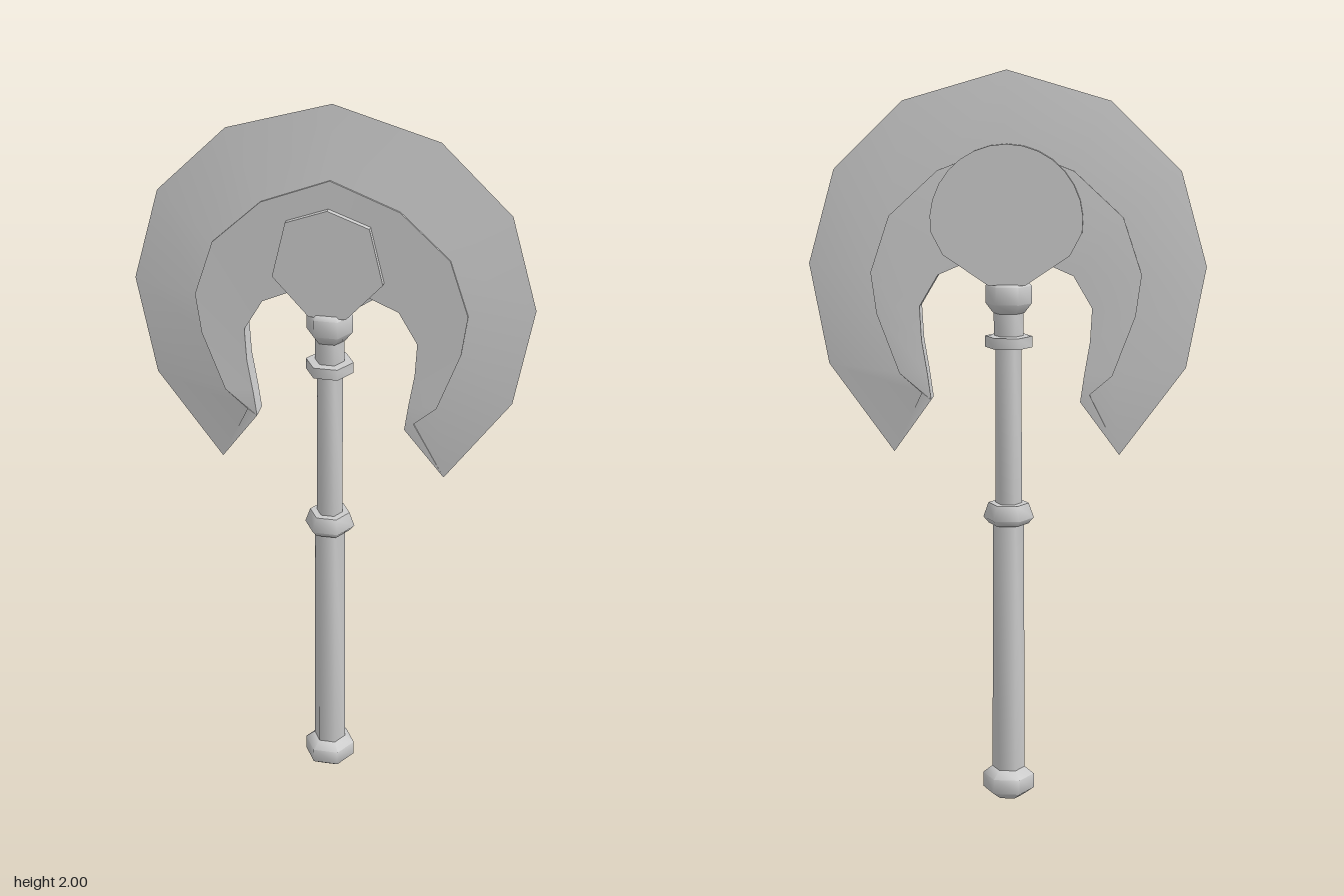
import * as THREE from 'three';
import { toCreasedNormals } from 'three/addons/utils/BufferGeometryUtils.js';

const material = new THREE.MeshStandardMaterial({ color: 0xcccccc });
const MID_Z = -0.007;
const AXIS_X = -0.006;

function part(name, geometry, crease) {
  const mesh = new THREE.Mesh(toCreasedNormals(geometry, crease), material);
  mesh.name = name;
  return mesh;
}

// Six-sided turned part with corners on the x axis; profile is [radius, y] from bottom to top
function turned(name, profile, crease = 1.1) {
  const points = profile.map(([r, y]) => new THREE.Vector2(r, y));
  const mesh = part(name, new THREE.LatheGeometry(points, 6, Math.PI / 2), crease);
  mesh.position.set(AXIS_X, 0, MID_Z + 0.003);
  return mesh;
}

// Flat plate between two depths
function plate(name, outline, z0, z1) {
  const shape = new THREE.Shape(outline.map(([x, y]) => new THREE.Vector2(x, y)));
  const geometry = new THREE.ExtrudeGeometry(shape, { depth: z1 - z0, bevelEnabled: false });
  geometry.translate(0, 0, z0);
  return part(name, geometry, 0.6);
}

// Crescent blade: cross-sections swept from one horn over the top to the other
function blade() {
  // Each station: cutting edge, step of the raised inner band, inner edge (x, y)
  const half = [
    [0.305, 0.98, 0.225, 1.148, 0.2, 1.128],
    [0.48, 1.22, 0.285, 1.2, 0.21, 1.2],
    [0.505, 1.355, 0.345, 1.36, 0.225, 1.29],
    [0.53, 1.49, 0.36, 1.47, 0.23, 1.38],
    [0.46, 1.74, 0.31, 1.62, 0.18, 1.465],
    [0.275, 1.92, 0.18, 1.74, 0.1, 1.5],
  ];
  const mirrored = half.map(([a, b, c, d, e, f]) => [-a, b, -c, d, -e, f]).reverse();
  const stations = [...half, [0, 2, 0, 1.81, 0, 1.5], ...mirrored];
  const rings = stations.map(([ox, oy, rx, ry, ix, iy]) => [
    [ox, oy, 0],
    [rx, ry, 0.026], [rx, ry, 0.031], [ix, iy, 0.028],
    [ix, iy, -0.028], [rx, ry, -0.031], [rx, ry, -0.026],
  ]);
  const positions = [];
  const tri = (a, b, c) => positions.push(...a, ...b, ...c);
  const n = rings[0].length;
  for (let i = 0; i < rings.length - 1; i++) {
    for (let j = 0; j < n; j++) {
      const k = (j + 1) % n;
      tri(rings[i][j], rings[i + 1][j], rings[i + 1][k]);
      tri(rings[i][j], rings[i + 1][k], rings[i][k]);
    }
  }
  // Horn ends
  const first = rings[0], last = rings[rings.length - 1];
  for (let j = 1; j < n - 1; j++) {
    tri(first[0], first[j], first[j + 1]);
    tri(last[0], last[j + 1], last[j]);
  }
  const geometry = new THREE.BufferGeometry();
  geometry.setAttribute('position', new THREE.Float32BufferAttribute(positions, 3));
  geometry.translate(0, 0, MID_Z);
  return part('blade', geometry, 0.5);
}

export function createModel() {
  const group = new THREE.Group();
  group.name = 'axe';

  // Handle, bottom to top
  group.add(turned('pommel', [[0, 0], [0.04, 0.003], [0.071, 0.025], [0.071, 0.066], [0.046, 0.086], [0, 0.086]]));
  group.add(turned('grip', [[0.045, 0.08], [0.042, 0.8]]));
  group.add(turned('middleRing', [[0, 0.782], [0.054, 0.785], [0.069, 0.802], [0.055, 0.842], [0, 0.844]]));
  group.add(turned('upperShaft', [[0.036, 0.83], [0.035, 1.29]]));
  group.add(turned('upperRing', [[0, 1.268], [0.064, 1.27], [0.064, 1.3], [0, 1.304]]));
  group.add(turned('neck', [[0.04, 1.29], [0.04, 1.38]]));
  group.add(turned('collar', [[0, 1.36], [0.042, 1.362], [0.062, 1.388], [0.062, 1.435], [0.052, 1.446], [0, 1.446]]));

  group.add(blade());

  // Faceted plate on the front
  group.add(plate('frontPlate', [
    [-0.053, 1.44], [0.045, 1.44], [0.141, 1.545], [0.105, 1.695],
    [-0.004, 1.735], [-0.113, 1.695], [-0.149, 1.545],
  ], -0.01, 0.039));

  // Rounded plate on the back, tapering to the collar
  const back = [[-0.053, 1.44], [0.045, 1.44], [0.165, 1.52]];
  for (let i = 0; i <= 16; i++) {
    const a = -0.15 + (i / 16) * (Math.PI + 0.3);
    back.push([-0.003 + 0.202 * Math.cos(a), 1.61 + 0.2 * Math.sin(a)]);
  }
  back.push([-0.171, 1.52]);
  group.add(plate('backPlate', back, -0.052, -0.01));

  return group;
}
